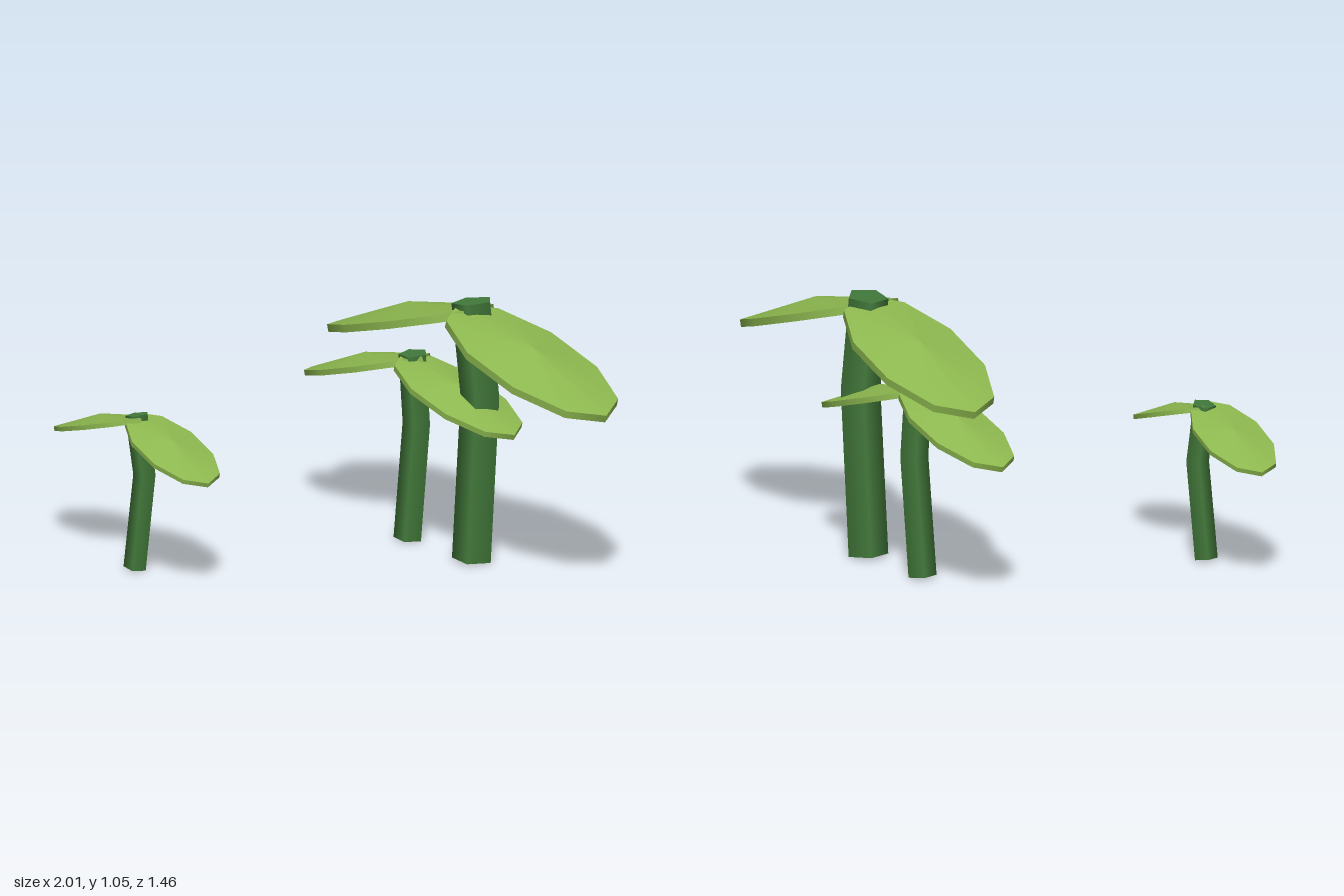
import * as THREE from 'three';

const leafGreen = new THREE.MeshStandardMaterial({ color: 0x8db84f });
leafGreen.name = 'leafGreen';
const stemGreen = new THREE.MeshStandardMaterial({ color: 0x42793a });
stemGreen.name = 'stemGreen';

const LEAF_SLOPE = 0.28;

// Five-sided stem following three centre points, its end caps square to the lean
function makeStem(radius, points) {
  const [base, bend, top] = points;
  const geo = new THREE.CylinderGeometry(radius, radius, 2, 5, 2);
  geo.rotateY(Math.PI);
  const lean = (a, b) => [(b[0] - a[0]) / (b[1] - a[1]), (b[2] - a[2]) / (b[1] - a[1])];
  const low = lean(base, bend), high = lean(bend, top);
  const leans = [low, [(low[0] + high[0]) / 2, (low[1] + high[1]) / 2], high];
  const pos = geo.attributes.position;
  for (let i = 0; i < pos.count; i++) {
    const level = Math.round(pos.getY(i)) + 1;
    const x = pos.getX(i), z = pos.getZ(i), c = points[level], s = leans[level];
    pos.setXYZ(i, c[0] + x, c[1] - s[0] * x - s[1] * z, c[2] + z);
  }
  const stem = new THREE.Mesh(geo, stemGreen);
  stem.name = 'stem';
  return stem;
}

// Drooping ten-sided leaf: a thin oval rim under a shallow cone
function makeLeaf(name, side, { centre, length, width, height, yaw }) {
  const leaf = new THREE.Group();
  leaf.name = name;
  const rimHeight = height * 0.37, crownHeight = height - rimHeight;
  const rimGeo = new THREE.CylinderGeometry(1, 1, rimHeight, 10, 1, false, Math.PI / 2);
  const crownGeo = new THREE.ConeGeometry(1, crownHeight, 10, 1, true, Math.PI / 2);
  rimGeo.translate(0, rimHeight / 2, 0);
  crownGeo.translate(0, rimHeight + crownHeight / 2, 0);
  [['leafRim', rimGeo], ['leafCrown', crownGeo]].forEach(([part, geo]) => {
    geo.scale(length / Math.cos(LEAF_SLOPE), 1, width);
    const mesh = new THREE.Mesh(geo, leafGreen);
    mesh.name = part;
    leaf.add(mesh);
  });
  leaf.position.set(...centre);
  leaf.rotation.set(0, yaw, -side * LEAF_SLOPE, 'YZX');
  return leaf;
}

// Stem centre line, then the two leaves (length and width are half sizes)
const plants = [
  {
    name: 'tallPlant', radius: 0.082,
    stem: [[0.18, 0.01, -0.515], [0.215, 0.67, -0.53], [0.17, 1.04, -0.52]],
    left: { centre: [0.555, 0.87, -0.51], length: 0.44, width: 0.224, height: 0.08, yaw: 0.06 },
    right: { centre: [-0.21, 0.87, -0.511], length: 0.45, width: 0.224, height: 0.08, yaw: -0.02 },
  },
  {
    name: 'middlePlant', radius: 0.058,
    stem: [[-0.2, 0.008, -0.49], [-0.162, 0.48, -0.505], [-0.168, 0.757, -0.49]],
    left: { centre: [0.11, 0.638, -0.492], length: 0.325, width: 0.163, height: 0.06, yaw: 0.08 },
    right: { centre: [-0.44, 0.64, -0.475], length: 0.33, width: 0.158, height: 0.06, yaw: 0.05 },
  },
  {
    name: 'smallPlant', radius: 0.047,
    stem: [[-0.515, 0.007, 0.59], [-0.47, 0.39, 0.577], [-0.51, 0.622, 0.585]],
    left: { centre: [-0.28, 0.526, 0.592], length: 0.265, width: 0.14, height: 0.048, yaw: -0.1 },
    right: { centre: [-0.728, 0.526, 0.59], length: 0.272, width: 0.14, height: 0.048, yaw: -0.1 },
  },
];

export function createModel() {
  const model = new THREE.Group();
  model.name = 'plants';
  for (const p of plants) {
    const plant = new THREE.Group();
    plant.name = p.name;
    plant.add(
      makeStem(p.radius, p.stem),
      makeLeaf('leftLeaf', 1, p.left),
      makeLeaf('rightLeaf', -1, p.right),
    );
    model.add(plant);
  }
  return model;
}
